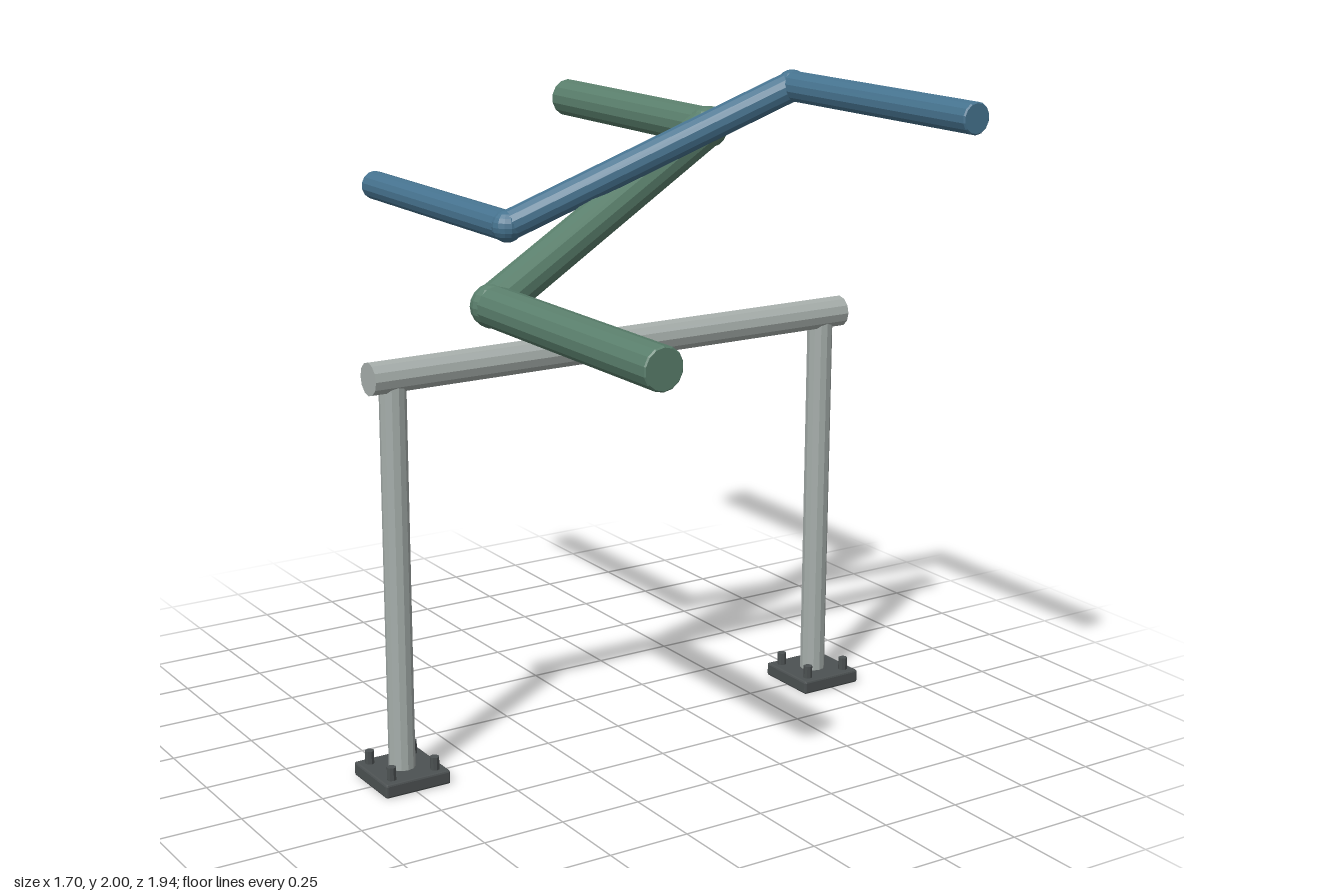
import * as THREE from 'three';
import { RoundedBoxGeometry } from 'three/addons/geometries/RoundedBoxGeometry.js';

const mat = (name, color) => Object.assign(new THREE.MeshStandardMaterial({ color, flatShading: true }), { name });

export function createModel() {
  const model = new THREE.Group();
  model.name = 'pipeRack';
  const steel = mat('galvanised steel', 0xa6aeab);
  const iron = mat('dark iron', 0x4c5152);
  const green = mat('green pipe', 0x5a7f6c);
  const blue = mat('blue pipe', 0x46738f);

  function add(parent, name, geometry, material, x = 0, y = 0, z = 0) {
    const mesh = new THREE.Mesh(geometry, material);
    mesh.name = name;
    mesh.position.set(x, y, z);
    parent.add(mesh);
    return mesh;
  }

  // Straight tube between two points, with finely chamfered ends
  function tube(parent, name, a, b, r, material, chamfer = 0.004) {
    const h = a.distanceTo(b) / 2;
    const profile = [[0, -h], [r - chamfer, -h], [r, -h + chamfer], [r, h - chamfer], [r - chamfer, h], [0, h]]
      .map(([x, y]) => new THREE.Vector2(x, y));
    const mid = a.clone().add(b).multiplyScalar(0.5);
    const mesh = add(parent, name, new THREE.LatheGeometry(profile, 14), material, mid.x, mid.y, mid.z);
    mesh.quaternion.setFromUnitVectors(new THREE.Vector3(0, 1, 0), b.clone().sub(a).normalize());
  }

  // Support frame: crossbeam on two legs
  const frame = new THREE.Group();
  frame.name = 'supportFrame';
  model.add(frame);
  const beam = add(frame, 'crossbeam', new THREE.CylinderGeometry(0.048, 0.048, 1.636, 12), steel, 0, 1.212, 0);
  beam.rotation.z = Math.PI / 2;
  for (const side of [-1, 1]) {
    const x = side * 0.744;
    add(frame, 'leg', new THREE.CylinderGeometry(0.039, 0.039, 1.16, 12), steel, x, 0.61, 0);
    add(frame, 'basePlate', new RoundedBoxGeometry(0.208, 0.042, 0.208, 1, 0.006), iron, x, 0.021, 0);
    for (const dx of [-0.07, 0.07]) for (const dz of [-0.07, 0.07]) {
      add(frame, 'bolt', new THREE.CylinderGeometry(0.014, 0.014, 0.05, 8), iron, x + dx, 0.056, dz);
    }
  }

  // Crossing pipes: straight run, sloping run, straight run, ball elbows
  function pipe(name, points, r, material) {
    const group = new THREE.Group();
    group.name = name;
    model.add(group);
    const pts = points.map((p) => new THREE.Vector3(...p));
    for (let i = 0; i < 3; i++) tube(group, 'run', pts[i], pts[i + 1], r, material);
    for (const p of [pts[1], pts[2]]) {
      add(group, 'elbow', new THREE.SphereGeometry(r * 1.06, 14, 10), material, p.x, p.y, p.z);
    }
  }
  pipe('greenPipe', [[-0.48, 1.4, 0.972], [-0.48, 1.4, 0.105], [0.417, 1.8, -0.152], [0.417, 1.8, -0.972]], 0.06, green);
  pipe('bluePipe', [[0.505, 1.95, 0.972], [0.505, 1.95, 0.153], [-0.302, 1.572, -0.12], [-0.302, 1.572, -0.972]], 0.045, blue);

  return model;
}
